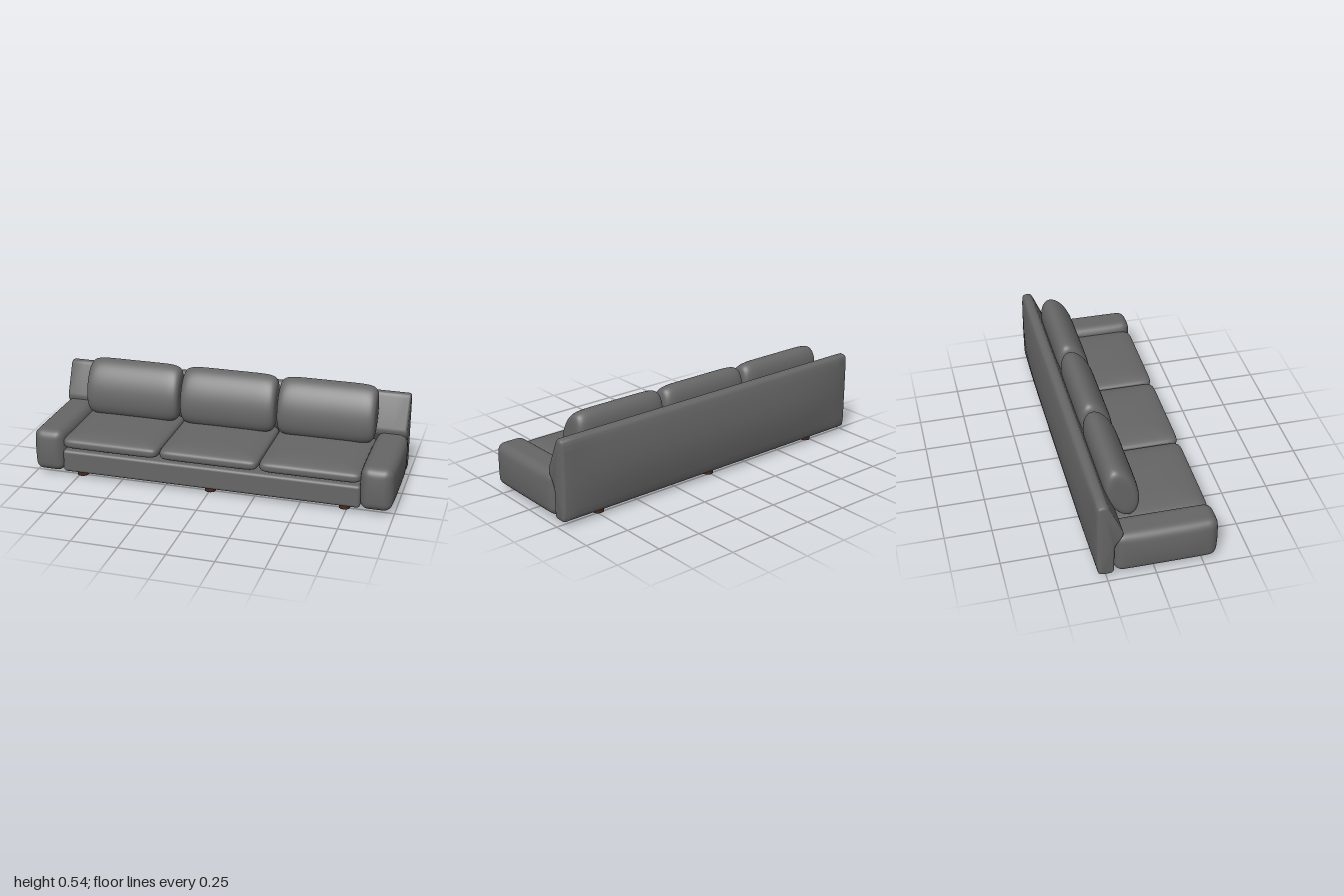
import * as THREE from 'three';
import { mergeVertices, toCreasedNormals } from 'three/addons/utils/BufferGeometryUtils.js';
import { RoundedBoxGeometry } from 'three/addons/geometries/RoundedBoxGeometry.js';

const upholstery = new THREE.MeshStandardMaterial({ color: 0x666666 });
upholstery.name = 'greyUpholstery';
const wood = new THREE.MeshStandardMaterial({ color: 0x45291e });
wood.name = 'darkWood';

// Moves every vertex by a rule and rebuilds smooth normals
function reshape(geometry, rule) {
  geometry.deleteAttribute('uv');
  geometry.deleteAttribute('normal');
  const g = mergeVertices(geometry, 1e-5);
  const pos = g.attributes.position;
  const p = new THREE.Vector3();
  for (let i = 0; i < pos.count; i++) {
    p.fromBufferAttribute(pos, i);
    rule(p);
    pos.setXYZ(i, p.x, p.y, p.z);
  }
  g.computeVertexNormals();
  return g;
}

// Stuffed cushion: a rounded solid, puffy along 'axis' with exponent e2,
// with a cross-section of exponent e1 in the other two directions
function cushion(hx, hy, hz, axis, e1, e2) {
  const others = ['x', 'y', 'z'].filter((k) => k !== axis);
  return reshape(new THREE.BoxGeometry(2, 2, 2, 24, 24, 24), (p) => {
    // crowd the rows towards the edges, where the curvature is
    for (const k of ['x', 'y', 'z']) p[k] = 0.4 * p[k] + 0.6 * Math.sin(p[k] * Math.PI / 2);
    const inner = Math.pow(Math.abs(p[others[0]]) ** e1 + Math.abs(p[others[1]]) ** e1, 1 / e1);
    const norm = Math.pow(Math.abs(p[axis]) ** e2 + inner ** e2, 1 / e2);
    p.divideScalar(norm).multiply(new THREE.Vector3(hx, hy, hz));
  });
}

// Box with round edges whose sides and ends swell gently
function swollenBox(w, h, d, r, swellX, swellZ) {
  const half = new THREE.Vector3(w / 2, h / 2, d / 2);
  const inner = half.clone().subScalar(r);
  const core = new THREE.Vector3();
  return reshape(new THREE.BoxGeometry(w, h, d, 16, 20, 40), (p) => {
    core.copy(p).clamp(inner.clone().negate(), inner);
    p.sub(core).setLength(r).add(core);
    const u = p.x / half.x, v = p.y / half.y, t = p.z / half.z;
    p.x += swellX * u * (1 - v * v) * (1 - t ** 4);
    p.z += swellZ * Math.max(t, 0) * (1 - v * v) * (1 - u * u);
  });
}

// Closed outline with softened corners
function roundedShape(points, r) {
  const shape = new THREE.Shape();
  const pts = points.map(([x, y]) => new THREE.Vector2(x, y));
  pts.forEach((p, i) => {
    const towards = (q) => {
      const v = q.clone().sub(p);
      return v.setLength(Math.min(r, v.length() * 0.4)).add(p);
    };
    const a = towards(pts[(i + pts.length - 1) % pts.length]);
    const b = towards(pts[(i + 1) % pts.length]);
    if (i === 0) shape.moveTo(a.x, a.y);
    else shape.lineTo(a.x, a.y);
    shape.quadraticCurveTo(p.x, p.y, b.x, b.y);
  });
  shape.closePath();
  return shape;
}

// Backrest: a (z, y) profile run along x, its rear face bulging in the middle
function backrestGeometry() {
  const profile = [[-0.212, 0.03], [-0.211, 0.2], [-0.16, 0.275], [-0.247, 0.477], [-0.295, 0.47]];
  for (let i = 1; i < 10; i++) profile.push([-0.299, 0.47 - 0.044 * i]);
  profile.push([-0.293, 0.03]);
  const bevel = 0.016, length = 1.972;
  const g = new THREE.ExtrudeGeometry(roundedShape(profile, 0.025), {
    depth: length - 2 * bevel, steps: 30, curveSegments: 5,
    bevelSize: bevel, bevelThickness: bevel, bevelOffset: -bevel, bevelSegments: 4,
  });
  g.translate(0, 0, -(length / 2 - bevel));
  g.rotateY(-Math.PI / 2);
  const pos = g.attributes.position;
  for (let i = 0; i < pos.count; i++) {
    const z = pos.getZ(i);
    if (z > -0.27) continue;
    const across = Math.max(0, 1 - Math.abs(pos.getX(i) / 0.986) ** 5);
    const up = Math.sin(Math.PI * THREE.MathUtils.clamp((pos.getY(i) - 0.03) / 0.44, 0, 1));
    pos.setZ(i, z - 0.03 * across * up);
  }
  return toCreasedNormals(g, 0.7);
}

export function createModel() {
  const sofa = new THREE.Group();
  sofa.name = 'sofa';
  const add = (name, geometry, material, x, y, z) => {
    const mesh = new THREE.Mesh(geometry, material);
    mesh.name = name;
    mesh.position.set(x, y, z);
    sofa.add(mesh);
    return mesh;
  };

  // Frame
  add('base', new RoundedBoxGeometry(1.65, 0.127, 0.53, 4, 0.018), upholstery, 0, 0.0965, 0.048);
  add('backrest', backrestGeometry(), upholstery, 0, 0, 0);

  // Arms
  const arm = swollenBox(0.162, 0.238, 0.528, 0.042, 0.014, 0.012);
  for (const side of [1, -1]) {
    add(side > 0 ? 'leftArm' : 'rightArm', arm, upholstery, side * 0.906, 0.148, 0.055);
  }

  // Three seat cushions, each with a leaning back cushion
  const seat = cushion(0.274, 0.046, 0.262, 'y', 14, 3.2);
  const back = cushion(0.27, 0.161, 0.085, 'x', 1.95, 8);
  ['right', 'middle', 'left'].forEach((place, i) => {
    const x = (i - 1) * 0.553;
    add(place + 'SeatCushion', seat, upholstery, x, 0.2, 0.056);
    add(place + 'BackCushion', back, upholstery, x, 0.384, -0.13).rotation.x = -0.31;
  });

  // Six round feet
  const foot = new THREE.CylinderGeometry(0.03, 0.03, 0.04, 20);
  for (const x of [-0.735, 0, 0.735]) {
    add('frontFoot', foot, wood, x, 0.02, 0.245);
    add('backFoot', foot, wood, x, 0.02, -0.232);
  }
  return sofa;
}
